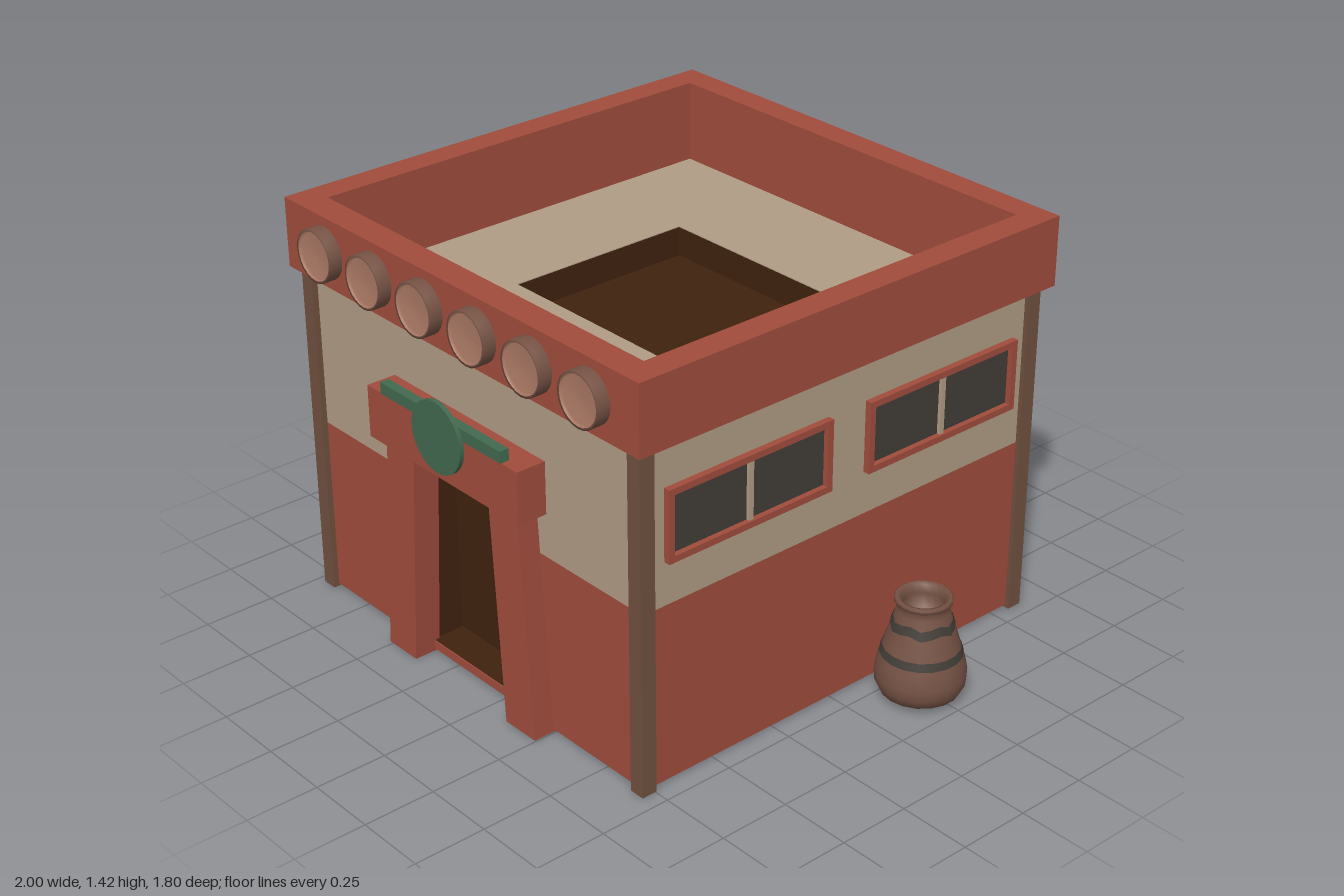
import * as THREE from 'three';

const mat = (name, color, side = THREE.FrontSide) => {
  const m = new THREE.MeshStandardMaterial({ color, side });
  m.name = name;
  return m;
};

export function createModel() {
  const clay = mat('red clay', 0xa04c3c);
  const plaster = mat('beige plaster', 0xb09c84);
  const wood = mat('brown wood', 0x70503f);
  const pottery = mat('brown pottery', 0x755244, THREE.DoubleSide);
  const shade = mat('dark interior', 0x40220f, THREE.DoubleSide);
  const glass = mat('dark glass', 0x423d37, THREE.DoubleSide);
  const cutWood = mat('cut wood', 0xae7b66);
  const green = mat('green paint', 0x42694f);

  const root = new THREE.Group();
  root.name = 'adobeHouse';
  const add = (name, geo, material, parent = root) => {
    const m = new THREE.Mesh(geo, material);
    m.name = name;
    parent.add(m);
    return m;
  };
  // Box given by its lower and upper corners
  const box = (name, material, [x0, y0, z0], [x1, y1, z1], parent = root) => {
    const m = add(name, new THREE.BoxGeometry(x1 - x0, y1 - y0, z1 - z0), material, parent);
    m.position.set((x0 + x1) / 2, (y0 + y1) / 2, (z0 + z1) / 2);
    return m;
  };
  // Box with one side left out (0 +x, 1 -x, 2 +y, 3 -y, 4 +z, 5 -z)
  const recess = (name, a, b, open) => {
    const m = box(name, shade, a, b);
    const index = Array.from(m.geometry.index.array);
    index.splice(open * 6, 6);
    m.geometry.setIndex(index);
    m.geometry.clearGroups();
  };
  const rect = (P, x0, y0, x1, y1) => {
    const p = new P();
    p.moveTo(x0, y0).lineTo(x1, y0).lineTo(x1, y1).lineTo(x0, y1).closePath();
    return p;
  };
  // Rectangular ring, extruded along its own z
  const ring = (outer, inner, depth) => {
    const s = rect(THREE.Shape, ...outer);
    s.holes.push(rect(THREE.Path, ...inner));
    return new THREE.ExtrudeGeometry(s, { depth, bevelEnabled: false });
  };
  // Horizontal ring: bounds are x0, z0, x1, z1
  const flatRing = (name, material, [a, b, c, d], [e, f, g, h], y0, y1) => {
    const geo = ring([a, -d, c, -b], [e, -h, g, -f], y1 - y0).rotateX(-Math.PI / 2);
    add(name, geo, material).position.y = y0;
  };

  // Walls in two colour bands, with a doorway in the front
  const X0 = -0.95, X1 = 0.68, Z0 = -0.85, Z1 = 0.78, T = 0.04;
  const doorL = -0.38, doorR = 0.11, doorBottom = 0.04, doorTop = 0.8;
  for (const [band, m, y0, y1] of [['lower', clay, 0.01, 0.63], ['upper', plaster, 0.63, 1.19]]) {
    box(band + 'SideWallRight', m, [X0, y0, Z0], [X0 + T, y1, Z1]);
    box(band + 'SideWallLeft', m, [X1 - T, y0, Z0], [X1, y1, Z1]);
    box(band + 'BackWall', m, [X0 + T, y0, Z0], [X1 - T, y1, Z0 + T]);
    box(band + 'FrontWallRight', m, [X0 + T, y0, Z1 - T], [doorL, y1, Z1]);
    box(band + 'FrontWallLeft', m, [doorR, y0, Z1 - T], [X1 - T, y1, Z1]);
  }
  box('doorSill', clay, [doorL, 0.01, Z1 - T], [doorR, doorBottom, Z1]);
  box('wallAboveDoor', plaster, [doorL, doorTop, Z1 - T], [doorR, 1.19, Z1]);
  box('floor', plaster, [X0 + T, 0.01, Z0 + T], [X1 - T, 0.03, Z1 - T]);
  recess('doorRecess', [doorL + 0.002, doorBottom + 0.002, 0.66], [doorR - 0.002, doorTop - 0.002, Z1 - 0.002], 4);

  // Corner posts
  for (const x of [-0.97, 0.64])
    for (const z of [-0.87, 0.745])
      box('cornerPost', wood, [x, 0, z], [x + 0.055, 1.19, z + 0.055]);

  // Parapet, its inner lining, and the roof with a sunken hatch
  const inside = [-0.905, -0.805, 0.63, 0.725];
  flatRing('parapet', clay, [-1, -0.9, 0.725, 0.825], inside, 1.18, 1.42);
  flatRing('parapetLining', clay, [-0.91, -0.81, 0.64, 0.74], inside, 1.1, 1.18);
  flatRing('roof', plaster, [-0.906, -0.806, 0.632, 0.727], [-0.485, -0.385, 0.21, 0.305], 1.03, 1.135);
  recess('roofHatch', [-0.483, 1.03, -0.383], [0.208, 1.133, 0.303], 2);

  // Round beam ends with dished faces
  const beamProfile = [[0.09, 0], [0.09, 0.047], [0.082, 0.047]].map(p => new THREE.Vector2(...p));
  const dishProfile = [[0.083, 0.047], [0.076, 0.038], [0, 0.036]].map(p => new THREE.Vector2(...p));
  for (let i = 0; i < 6; i++) {
    const beam = new THREE.Group();
    beam.name = 'beamEnd';
    beam.position.set(-0.785 + i * 0.2595, 1.3, 0.824);
    beam.rotation.x = Math.PI / 2;
    root.add(beam);
    add('beamSide', new THREE.LatheGeometry(beamProfile, 24), pottery, beam);
    add('beamFace', new THREE.LatheGeometry(dishProfile, 24), cutWood, beam);
  }

  // Leaning door pillars, mirrored about the door centre
  for (const s of [-1, 1]) {
    const shape = new THREE.Shape();
    shape.moveTo(s * 0.238, 0).lineTo(s * 0.38, 0).lineTo(s * 0.329, 0.785).lineTo(s * 0.188, 0.785).closePath();
    const pillar = add('doorPillar', new THREE.ExtrudeGeometry(shape, { depth: 0.095, bevelEnabled: false }), clay);
    pillar.position.set(-0.135, 0, 0.76);
  }
  box('lintel', clay, [-0.51, 0.78, 0.76], [0.24, 0.96, 0.885]);

  // Green ornament over the door
  box('ornamentBar', green, [-0.435, 0.96, 0.855], [0.165, 1.0, 0.888]);
  const disc = add('ornamentDisc', new THREE.CylinderGeometry(0.122, 0.122, 0.016, 28), green);
  disc.rotation.x = Math.PI / 2;
  disc.position.set(-0.137, 0.93, 0.893);

  // Two framed windows on each side wall
  for (const [side, wallX] of [[1, X1], [-1, X0]])
    for (const z of [0.37, -0.44]) {
      const win = new THREE.Group();
      win.name = 'window';
      win.position.set(wallX, 0.902, z);
      win.rotation.y = side * Math.PI / 2;
      root.add(win);
      add('windowFrame', ring([-0.327, -0.123, 0.327, 0.123], [-0.305, -0.101, 0.305, 0.101], 0.023), clay, win);
      box('windowPane', glass, [-0.31, -0.106, 0], [0.31, 0.106, 0.004], win);
      box('windowMullion', plaster, [-0.009, -0.101, 0.003], [0.009, 0.101, 0.016], win);
    }

  // Clay jar with two painted bands
  const jar = new THREE.Group();
  jar.name = 'jar';
  jar.position.set(0.85, 0, -0.228);
  root.add(jar);
  const lathe = pts => new THREE.LatheGeometry(pts.map(p => new THREE.Vector2(...p)), 18);
  add('jarBody', lathe([[0, 0.008], [0.1, 0.01], [0.13, 0.027], [0.146, 0.06], [0.149, 0.095], [0.14, 0.14],
    [0.122, 0.2], [0.102, 0.265], [0.085, 0.32], [0.08, 0.343], [0.093, 0.35], [0.094, 0.362], [0.087, 0.367],
    [0.073, 0.362], [0.066, 0.335], [0.07, 0.28], [0, 0.27]]), pottery, jar);
  add('jarLowerBand', lathe([[0.1345, 0.164], [0.1265, 0.191]]), glass, jar);
  const wavy = lathe([[0.1045, 0.264], [0.0955, 0.294]]);
  const p = wavy.attributes.position;
  for (let i = 0; i < p.count; i++) {
    const wave = 0.007 * Math.sin(6 * Math.atan2(p.getZ(i), p.getX(i)));
    const k = 1 - wave * 3;
    p.setXYZ(i, p.getX(i) * k, p.getY(i) + wave, p.getZ(i) * k);
  }
  add('jarWavyBand', wavy, glass, jar);

  return root;
}
